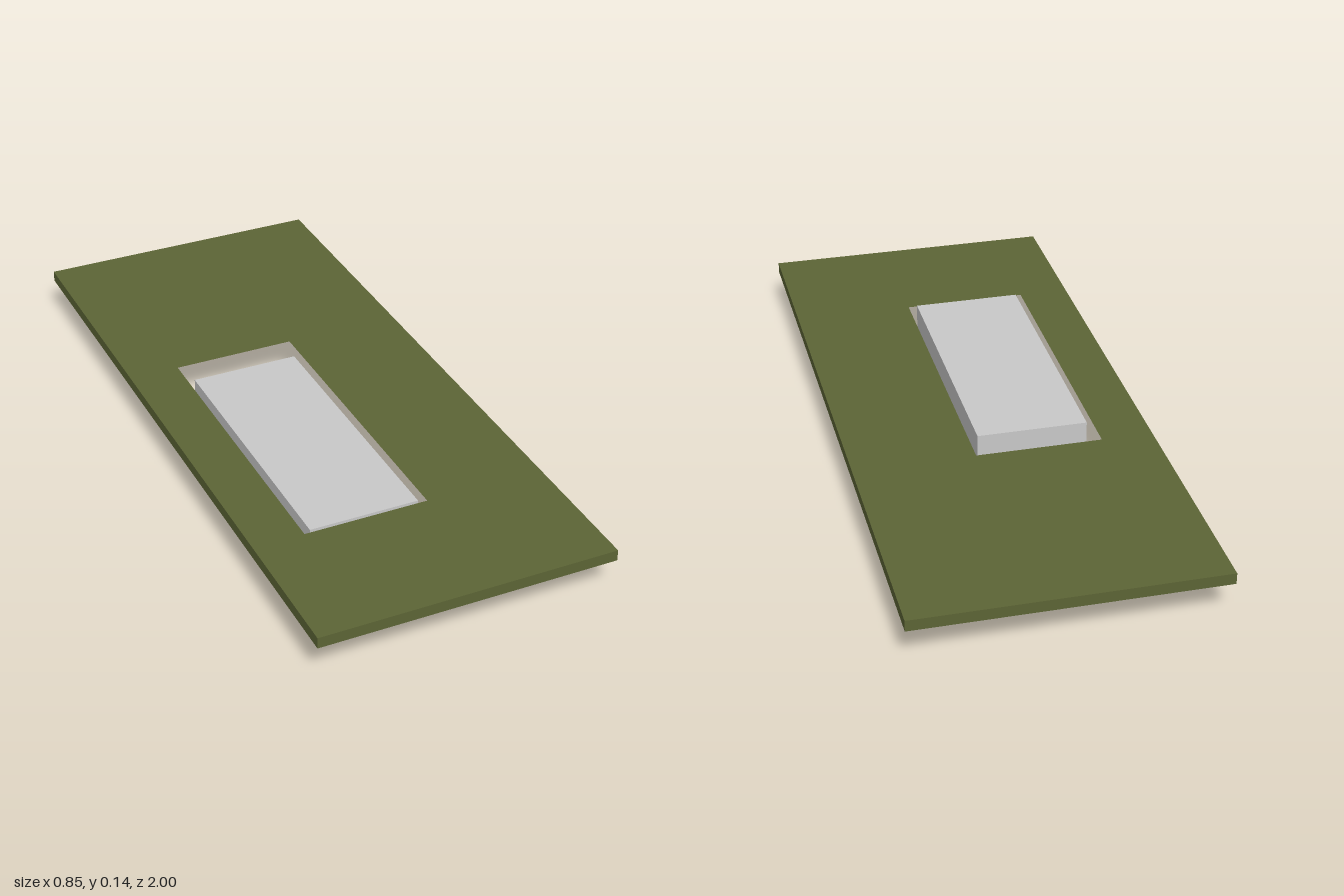
import * as THREE from 'three';

const W = 0.854, L = 2, TOP = 0.137, LIP = 0.032;

// Traces a rectangle in plan: x across, y standing for -z
function rect(path, x0, x1, z0, z1) {
  path.moveTo(x0, -z1);
  path.lineTo(x1, -z1);
  path.lineTo(x1, -z0);
  path.lineTo(x0, -z0);
  path.closePath();
  return path;
}

export function createModel() {
  const group = new THREE.Group();
  const olive = new THREE.MeshStandardMaterial({ color: 0x5c6435, side: THREE.DoubleSide });
  olive.name = 'olive green';
  const grey = new THREE.MeshStandardMaterial({ color: 0xc8c8c8 });
  grey.name = 'light grey';

  const add = (name, geometry, material, x, y, z, turn = 0) => {
    const mesh = new THREE.Mesh(geometry, material);
    mesh.name = name;
    mesh.position.set(x, y, z);
    mesh.rotation.y = turn;
    group.add(mesh);
  };

  // Thin top sheet with a rectangular opening
  const outline = rect(new THREE.Shape(), -W / 2, W / 2, -L / 2, L / 2);
  outline.holes.push(rect(new THREE.Path(), -0.28, 0.08, -0.3, 0.6));
  add('topSheet', new THREE.ShapeGeometry(outline).rotateX(-Math.PI / 2), olive, 0, TOP, 0);

  // Shallow lip hanging from all four edges, open underneath
  const lipY = TOP - LIP / 2;
  for (const s of [1, -1]) {
    add(s > 0 ? 'frontLip' : 'backLip', new THREE.PlaneGeometry(W, LIP), olive,
      0, lipY, s * L / 2, s > 0 ? 0 : Math.PI);
    add(s > 0 ? 'leftLip' : 'rightLip', new THREE.PlaneGeometry(L, LIP), olive,
      s * W / 2, lipY, 0, s * Math.PI / 2);
  }

  // Box standing in the opening, just proud of the sheet
  add('insetBox', new THREE.BoxGeometry(0.317, 0.142, 0.805), grey, -0.104, 0.071, 0.193);

  return group;
}
